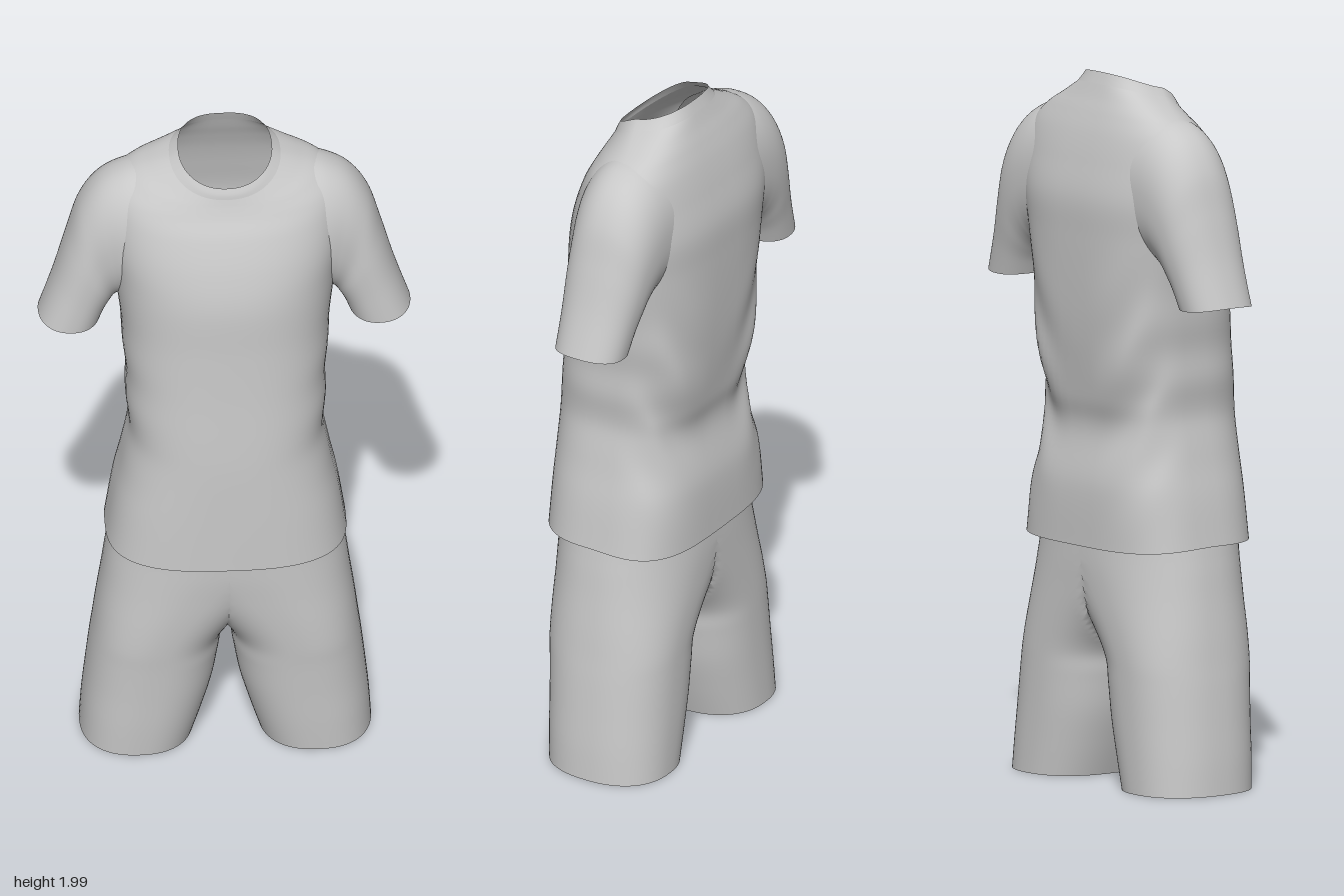
import * as THREE from 'three';
import { mergeGeometries, mergeVertices } from 'three/addons/utils/BufferGeometryUtils.js';

const SEGMENTS = 72;

// Smoothly interpolated row of a key table, t in 0..1
function sampleKeys(keys, t) {
  const f = t * (keys.length - 1);
  const i = Math.min(Math.floor(f), keys.length - 2), u = f - i;
  const row = (k) => keys[Math.max(0, Math.min(keys.length - 1, k))];
  return keys[0].map((_, c) => {
    const a = row(i - 1)[c], b = row(i)[c], d = row(i + 1)[c], e = row(i + 2)[c];
    return b + 0.5 * u * (d - a + u * (2 * a - 5 * b + 4 * d - e + u * (3 * (b - d) + e - a)));
  });
}

// Rounded-rectangle style cosine and sine
const soften = (v, n) => Math.sign(v) * Math.pow(Math.abs(v), 2 / n);

// Open tube through rings, running bottom to top; ringPoint(row, cos, sin) gives [x, y, z]
function loft(keys, steps, ringPoint) {
  const pos = [], index = [];
  for (let j = 0; j <= steps; j++) {
    const row = sampleKeys(keys, j / steps);
    for (let i = 0; i < SEGMENTS; i++) {
      const a = (i / SEGMENTS) * Math.PI * 2;
      pos.push(...ringPoint(row, Math.cos(a), Math.sin(a)));
    }
  }
  const onSeam = (...ids) => ids.every((k) => Math.abs(pos[k * 3]) < 1e-6);
  for (let j = 0; j < steps; j++) {
    for (let i = 0; i < SEGMENTS; i++) {
      const a = j * SEGMENTS + i, b = j * SEGMENTS + ((i + 1) % SEGMENTS);
      const c = a + SEGMENTS, d = b + SEGMENTS;
      if (!onSeam(a, c, b)) index.push(a, c, b);
      if (!onSeam(b, c, d)) index.push(b, c, d);
    }
  }
  const g = new THREE.BufferGeometry();
  g.setAttribute('position', new THREE.Float32BufferAttribute(pos, 3));
  g.setIndex(index);
  g.computeVertexNormals();
  return g;
}

// Copy across x = 0 with reversed corner order
function mirrored(g) {
  const m = g.clone().scale(-1, 1, 1);
  m.setIndex(Array.from(g.index.array).reverse());
  m.computeVertexNormals();
  return m;
}

// Shirt ring: side y, half width, front z, front y, back z, back y, side z, squareness
function shirtPoint([y, w, zf, yf, zb, yb, zc, n], cos, sin) {
  const front = sin > 0;
  const power = front ? n : n + 0.5; // the back is flatter than the chest
  const c = soften(cos, power), s = Math.abs(soften(sin, power));
  const x = w * c;
  const py = y + ((front ? yf : yb) - y) * Math.pow(s, 1.25);
  let z = zc + ((front ? zf : zb) - zc) * s;
  // Hanging folds either side of the back, fading towards hem and shoulders
  const fade = Math.exp(-Math.pow((py - 1.15) / 0.22, 2));
  if (!front) z += 0.03 * fade * s * s * c * c * Math.sin(22 * (py - 4 * x * x));
  const pucker = 1 + 0.012 * fade * Math.sin(34 * py) * c * c;
  return [x * pucker, py, z];
}

export function createModel() {
  const group = new THREE.Group();
  const cloth = new THREE.MeshStandardMaterial({ color: 0xc8c8c8, side: THREE.DoubleSide });
  cloth.name = 'light grey cloth';
  const add = (name, geometry) => {
    const mesh = new THREE.Mesh(geometry, cloth);
    mesh.name = name;
    group.add(mesh);
  };

  // Shirt body from hem to neckline
  const neckline = [1.94, 0.155, 0.096, 1.866, -0.143, 1.968, -0.025, 2.2];
  const body = [
    [0.695, 0.335, 0.24, 0.692, -0.22, 0.68, 0, 2.8],
    [0.85, 0.31, 0.238, 0.85, -0.215, 0.85, 0, 2.7],
    [1.0, 0.278, 0.235, 1.0, -0.187, 1.0, 0, 2.6],
    [1.1, 0.273, 0.23, 1.1, -0.2, 1.1, 0, 2.6],
    [1.25, 0.28, 0.22, 1.25, -0.22, 1.25, -0.01, 2.5],
    [1.4, 0.29, 0.213, 1.4, -0.23, 1.4, -0.03, 2.4],
    [1.55, 0.308, 0.208, 1.55, -0.235, 1.55, -0.05, 2.3],
    [1.66, 0.325, 0.185, 1.66, -0.235, 1.66, -0.06, 2.3],
    [1.76, 0.328, 0.15, 1.755, -0.215, 1.76, -0.065, 2.3],
    [1.83, 0.315, 0.12, 1.81, -0.195, 1.835, -0.065, 2.3],
    [1.88, 0.27, 0.106, 1.84, -0.175, 1.89, -0.06, 2.2],
    [1.913, 0.21, 0.1, 1.855, -0.157, 1.932, -0.045, 2.2],
    neckline,
  ];
  add('shirtBody', loft(body, 96, shirtPoint));

  // Neck band
  const band = [neckline, [1.953, 0.14, 0.093, 1.88, -0.136, 1.985, -0.022, 2.2], [1.962, 0.13, 0.085, 1.897, -0.13, 2.0, -0.02, 2.2]];
  add('collar', loft(band, 8, shirtPoint));

  // Sleeve ring: outer x, outer y, inner x, inner y, centre z, half depth;
  // the root flares out to run into the chest and back
  const sleeveKeys = [
    [0.517, 1.395, 0.345, 1.388, -0.062, 0.103],
    [0.475, 1.52, 0.33, 1.425, -0.066, 0.109],
    [0.438, 1.65, 0.315, 1.45, -0.07, 0.117],
    [0.403, 1.76, 0.303, 1.465, -0.073, 0.122],
    [0.35, 1.838, 0.29, 1.475, -0.07, 0.13],
    [0.28, 1.882, 0.27, 1.485, -0.064, 0.138],
    [0.2, 1.9, 0.2, 1.5, -0.06, 0.142],
  ];
  const sleeve = loft(sleeveKeys, 48, ([ox, oy, ix, iy, zc, zr], cos, sin) => {
    const c = soften(cos, 2.25), s = soften(sin, 2.25);
    return [
      (ox + ix) / 2 + ((ox - ix) / 2) * c,
      (oy + iy) / 2 + ((oy - iy) / 2) * c - 0.008 * s * s,
      zc + zr * s,
    ];
  });
  add('leftSleeve', sleeve);
  add('rightSleeve', mirrored(sleeve));

  // Shorts ring: y, outer x, inner x, front z, back z; above the crotch the
  // inner side crosses the middle and is trimmed there to form the seam
  const legKeys = [
    [0.008, 0.405, 0.09, 0.16, -0.2],
    [0.1, 0.399, 0.062, 0.168, -0.2],
    [0.2, 0.389, 0.035, 0.175, -0.2],
    [0.3, 0.378, 0.018, 0.183, -0.2],
    [0.37, 0.369, 0.004, 0.19, -0.2],
    [0.45, 0.359, -0.06, 0.197, -0.2],
    [0.55, 0.345, -0.17, 0.205, -0.2],
    [0.65, 0.332, -0.28, 0.213, -0.2],
    [0.75, 0.315, -0.315, 0.215, -0.195],
    [0.9, 0.27, -0.27, 0.2, -0.175],
  ];
  const leg = loft(legKeys, 60, ([y, ox, ix, zf, zb], cos, sin) => [
    Math.max(0, (ox + ix) / 2 + ((ox - ix) / 2) * soften(cos, 2.35)),
    y,
    (zf + zb) / 2 + ((zf - zb) / 2) * soften(sin, 2.35),
  ]);
  const shorts = mergeGeometries([leg, mirrored(leg)]);
  shorts.deleteAttribute('normal');
  const welded = mergeVertices(shorts, 1e-4);
  welded.computeVertexNormals();
  add('shorts', welded);

  return group;
}
